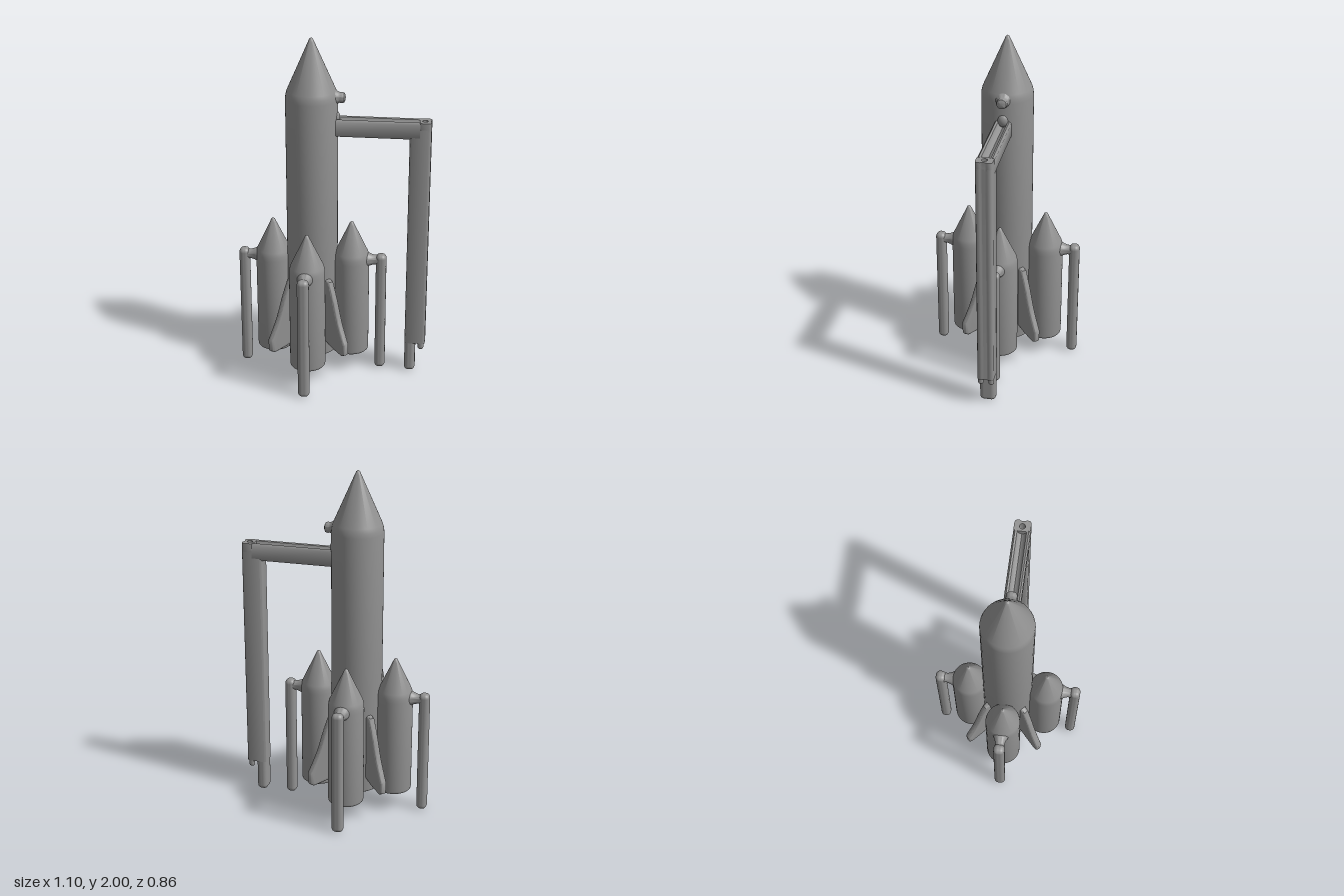
import * as THREE from 'three';
import { toCreasedNormals } from 'three/addons/utils/BufferGeometryUtils.js';
import { RoundedBoxGeometry } from 'three/addons/geometries/RoundedBoxGeometry.js';

const CX = -0.12; // rocket axis
const mat = new THREE.MeshStandardMaterial({ color: 0x929292 });

function add(parent, name, geo, x = 0, y = 0, z = 0) {
  const m = new THREE.Mesh(geo, mat);
  m.name = name;
  m.position.set(x, y, z);
  parent.add(m);
  return m;
}

const points = (list) => list.map(([x, y]) => new THREE.Vector2(x, y));
const lathe = (list) => toCreasedNormals(new THREE.LatheGeometry(points(list), 48), 0.6);

function extrude(shape, depth, bevel) {
  return toCreasedNormals(new THREE.ExtrudeGeometry(shape, {
    depth, curveSegments: 10, bevelEnabled: bevel > 0,
    bevelSize: bevel, bevelThickness: bevel, bevelOffset: -bevel, bevelSegments: 4,
  }), 0.8);
}

// Upright post with soft edges, standing between two heights
function post(w, d, y0, y1, radius) {
  return new RoundedBoxGeometry(w, y1 - y0, d, 5, radius).translate(0, (y0 + y1) / 2, 0);
}

// Pointed cylinder with a hollow nozzle underneath
function rocketBody(r, shoulder, tip) {
  const base = 0.12;
  return lathe([
    [0, base + 0.06], [r * 0.3, base + 0.058], [r * 0.55, base + 0.048], [r * 0.7, base + 0.03],
    [r * 0.78, base + 0.008], [r * 0.84, base], [r * 0.94, base], [r * 0.985, base + 0.005], [r, base + 0.014],
    [r, shoulder - 0.035], [r * 0.985, shoulder - 0.01], [r * 0.94, shoulder + 0.015],
    [0.018, tip - 0.025], [0.01, tip - 0.007], [0, tip],
  ]);
}

function makeFin() {
  const s = new THREE.Shape(points([[0.1, 0.22], [0.2, 0.185], [0.29, 0.17], [0.315, 0.185], [0.318, 0.25]]));
  s.splineThru(points([[0.26, 0.37], [0.215, 0.5], [0.175, 0.6]]));
  s.lineTo(0.1, 0.62);
  return extrude(s, 0.012, 0.014).translate(0, 0, -0.006);
}

// Rounded tower section from x0 outwards, with a shaft and a shallow outer groove
function towerSection(x0, y0, y1) {
  const s = new THREE.Shape(points([
    [x0, -0.034], [x0 + 0.004, -0.043], [x0 + 0.012, -0.047], [0.53, -0.047], [0.542, -0.043], [0.547, -0.034],
    [0.547, -0.02], [0.542, -0.01], [0.542, 0.01], [0.547, 0.02],
    [0.547, 0.034], [0.542, 0.043], [0.53, 0.047], [x0 + 0.012, 0.047], [x0 + 0.004, 0.043], [x0, 0.034],
  ]));
  const shaft = new THREE.Path();
  shaft.absarc(0.51, 0, 0.016, 0, Math.PI * 2, true);
  s.holes.push(shaft);
  return extrude(s, y1 - y0, 0).rotateX(-Math.PI / 2).translate(0, y0, 0);
}

export function createModel() {
  const model = new THREE.Group();
  model.name = 'rocketWithTower';

  const rocket = new THREE.Group();
  rocket.name = 'rocket';
  rocket.position.x = CX;
  model.add(rocket);
  add(rocket, 'coreBody', rocketBody(0.146, 1.69, 2));

  // Boosters with landing legs, and diagonal fins between them
  const boosterGeo = rocketBody(0.102, 0.73, 0.935);
  const legGeo = post(0.06, 0.066, 0.005, 0.737, 0.026);
  const neckGeo = lathe([[0.056, 0], [0.044, 0.03], [0.034, 0.05], [0.028, 0.07], [0.028, 0.085], [0.031, 0.115]])
    .rotateZ(-Math.PI / 2);
  const finGeo = makeFin();
  for (let i = 0; i < 4; i++) {
    const unit = new THREE.Group();
    unit.name = 'boosterUnit';
    unit.rotation.y = i * Math.PI / 2;
    rocket.add(unit);
    add(unit, 'booster', boosterGeo, 0.228);
    add(unit, 'boosterLeg', legGeo, 0.4);
    add(unit, 'legConnector', neckGeo, 0.29, 0.7);
    const fin = add(rocket, 'fin', finGeo);
    fin.rotation.y = (i + 0.5) * Math.PI / 2;
  }

  // Small port on the upper body, and the collar where the tower arm meets it
  const portGeo = lathe([[0.05, 0], [0.034, 0.018], [0.029, 0.03], [0.031, 0.042], [0.027, 0.054], [0.015, 0.06], [0, 0.062]])
    .rotateZ(-Math.PI / 2);
  add(rocket, 'sidePort', portGeo, 0.128, 1.668);
  const collar = add(rocket, 'armCollar', new THREE.SphereGeometry(0.036, 24, 16), 0.13, 1.555);
  collar.scale.set(0.8, 1.1, 0.9);

  // Launch tower
  const tower = new THREE.Group();
  tower.name = 'launchTower';
  model.add(tower);

  // Horizontal arm: channel section, open at the top
  const channel = new THREE.Shape(points([
    [-0.047, 1.465], [-0.037, 1.453], [0.037, 1.453], [0.047, 1.465], [0.047, 1.54], [0.037, 1.552],
    [0.026, 1.548], [0.018, 1.525], [0, 1.515], [-0.018, 1.525], [-0.026, 1.548], [-0.037, 1.552], [-0.047, 1.54],
  ]));
  add(tower, 'towerArm', extrude(channel, 0.485, 0).rotateY(Math.PI / 2));

  // Post below the channel floor, and the cap that closes the channel's end
  add(tower, 'towerPost', towerSection(0.428, 0.19, 1.512));
  add(tower, 'towerCap', towerSection(0.48, 1.5, 1.55));

  // Ragged lower lip of the post and its foot
  for (const side of [-1, 1]) {
    add(tower, 'postLip', post(0.034, 0.032, 0.15, 0.25, 0.015), 0.523, 0, side * 0.03);
  }
  add(tower, 'towerFoot', post(0.062, 0.092, 0.005, 0.3, 0.025), 0.459);

  return model;
}
